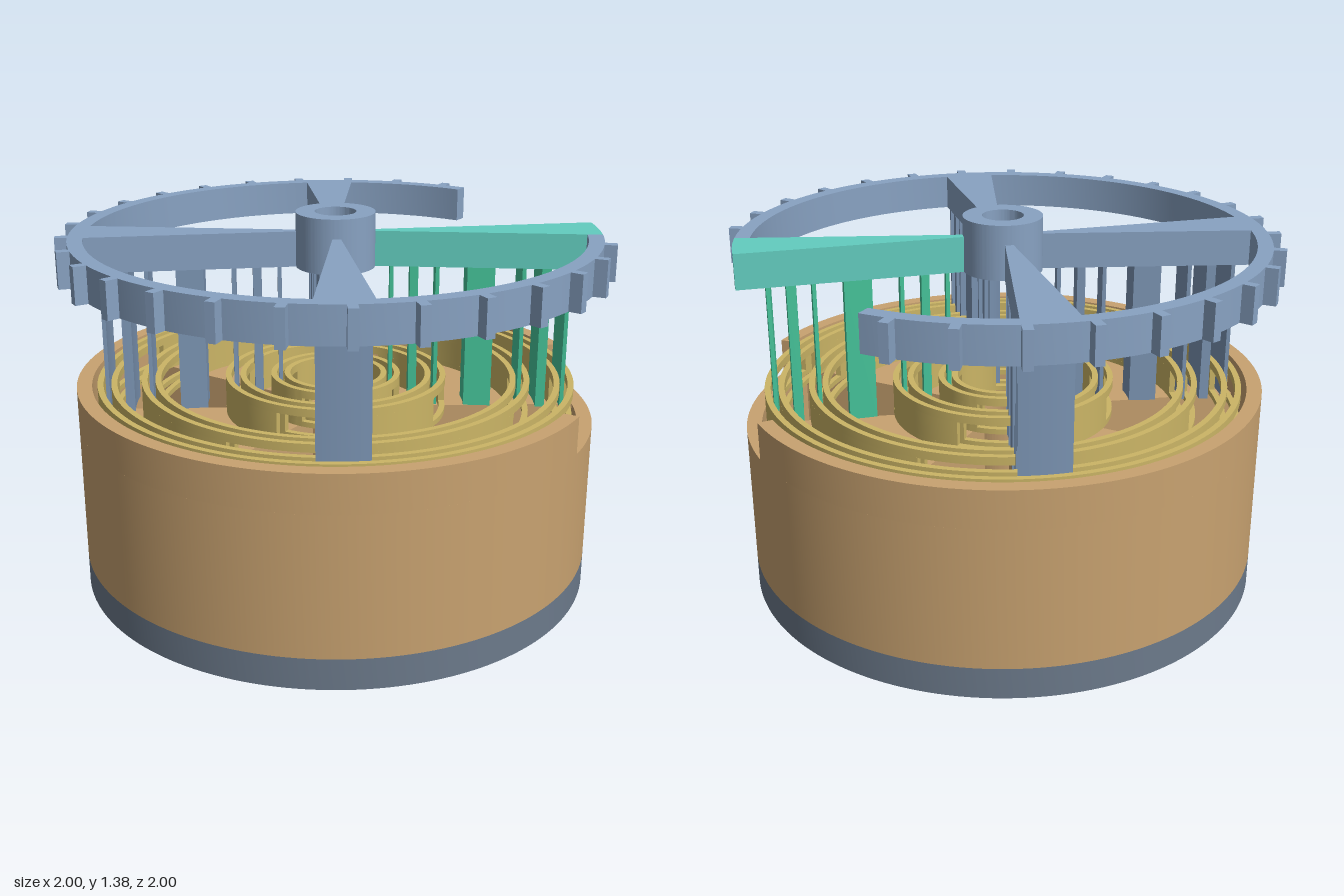
import * as THREE from 'three';
import { toCreasedNormals } from 'three/addons/utils/BufferGeometryUtils.js';

const rad = THREE.MathUtils.degToRad;

// Trace an annular sector between two radii and two angles (degrees, counterclockwise from above)
function traceSector(path, r0, r1, a0, a1) {
  const s = rad(a0), e = rad(a1);
  path.moveTo(r0 * Math.cos(s), r0 * Math.sin(s));
  path.lineTo(r1 * Math.cos(s), r1 * Math.sin(s));
  path.absarc(0, 0, r1, s, e, false);
  path.lineTo(r0 * Math.cos(e), r0 * Math.sin(e));
  path.absarc(0, 0, r0, e, s, true);
  return path;
}

// Raise a plan shape from y0 to y1
function raise(shape, y0, y1, segments) {
  const geo = new THREE.ExtrudeGeometry(shape, { depth: y1 - y0, bevelEnabled: false, curveSegments: segments });
  geo.rotateX(-Math.PI / 2);
  geo.translate(0, y0, 0);
  return toCreasedNormals(geo, rad(30));
}

function sector(r0, r1, a0, a1, y0, y1) {
  const segments = Math.max(6, Math.ceil((a1 - a0) / 4));
  return raise(traceSector(new THREE.Shape(), r0, r1, a0, a1), y0, y1, segments);
}

function discShape(r0, r1) {
  const shape = new THREE.Shape().absarc(0, 0, r1, 0, Math.PI * 2, false);
  shape.holes.push(new THREE.Path().absarc(0, 0, r0, 0, Math.PI * 2, true));
  return shape;
}

const ring = (r0, r1, y0, y1) => raise(discShape(r0, r1), y0, y1, 80);

export function createModel() {
  const model = new THREE.Group();
  const material = (name, color) => {
    const m = new THREE.MeshStandardMaterial({ color });
    m.name = name;
    return m;
  };
  const slate = material('dark slate', 0x6c7a8b);
  const tan = material('tan', 0xc8a270);
  const gold = material('gold', 0xcbb566);
  const blue = material('steel blue', 0x88a2c2);
  const finBlue = material('fin blue', 0x7c95b4);
  const teal = material('teal', 0x62cdbf);
  const green = material('green', 0x46c59b);

  const add = (parent, name, geo, mat) => {
    const mesh = new THREE.Mesh(geo, mat);
    mesh.name = name;
    parent.add(mesh);
  };
  const group = (name) => {
    const g = new THREE.Group();
    g.name = name;
    model.add(g);
    return g;
  };

  // Base plate with a centre bore
  add(model, 'basePlate', ring(0.095, 0.955, 0, 0.115), slate);

  // Housing: deck with four open chambers, then a low wall with a side notch
  const housing = group('housing');
  const deck = discShape(0.095, 0.955);
  for (let k = 0; k < 4; k++) {
    deck.holes.push(traceSector(new THREE.Path(), 0.15, 0.9, 90 * k, 90 * k + 36));
  }
  add(housing, 'deck', raise(deck, 0.115, 0.63, 80), tan);
  add(housing, 'upperWall', sector(0.9, 0.955, 55, 365, 0.63, 0.77), tan);

  // Concentric stator rings with a window over each chamber
  const stator = group('statorRings');
  for (const r of [0.18, 0.23, 0.345, 0.4, 0.66, 0.71, 0.82, 0.87]) {
    const r0 = r - 0.011, r1 = r + 0.011;
    add(stator, 'ringFoot', ring(r0, r1, 0.63, 0.65), gold);
    add(stator, 'ringTop', ring(r0, r1, 0.74, 0.77), gold);
    for (let k = 0; k < 4; k++) {
      add(stator, 'ringWall', sector(r0, r1, 90 * k + 36, 90 * k + 94, 0.65, 0.74), gold);
    }
  }

  // Rotor hub and open rim
  const rotor = group('rotor');
  add(rotor, 'hub', ring(0.075, 0.144, 1.18, 1.38), blue);
  add(rotor, 'rim', sector(0.9, 0.955, 90, 390, 1.18, 1.31), blue);

  // Rim teeth
  for (let k = 0; k < 24; k++) {
    const a = rad(96.3 + k * 12.41);
    const tooth = new THREE.BoxGeometry(0.06, 0.13, 0.034);
    tooth.translate(0.97, 1.245, 0);
    tooth.rotateY(a);
    add(rotor, 'rimTooth', tooth, blue);
  }

  // Tapered spokes, each carrying a row of hanging fins [radius, radial thickness]
  const fins = [[0.205, 0.014], [0.287, 0.03], [0.372, 0.014], [0.53, 0.1],
    [0.685, 0.014], [0.765, 0.034], [0.845, 0.014]];
  for (let k = 0; k < 4; k++) {
    const a0 = 30 + 90 * k, a1 = a0 + 12;
    const marked = k === 0;
    add(rotor, 'spoke', sector(0.13, marked ? 0.955 : 0.91, a0, a1, 1.18, 1.31), marked ? teal : blue);
    for (const [r, t] of fins) {
      add(rotor, 'fin', sector(r - t / 2, r + t / 2, a0, a1, 0.65, 1.18), marked ? green : finBlue);
    }
  }
  return model;
}
